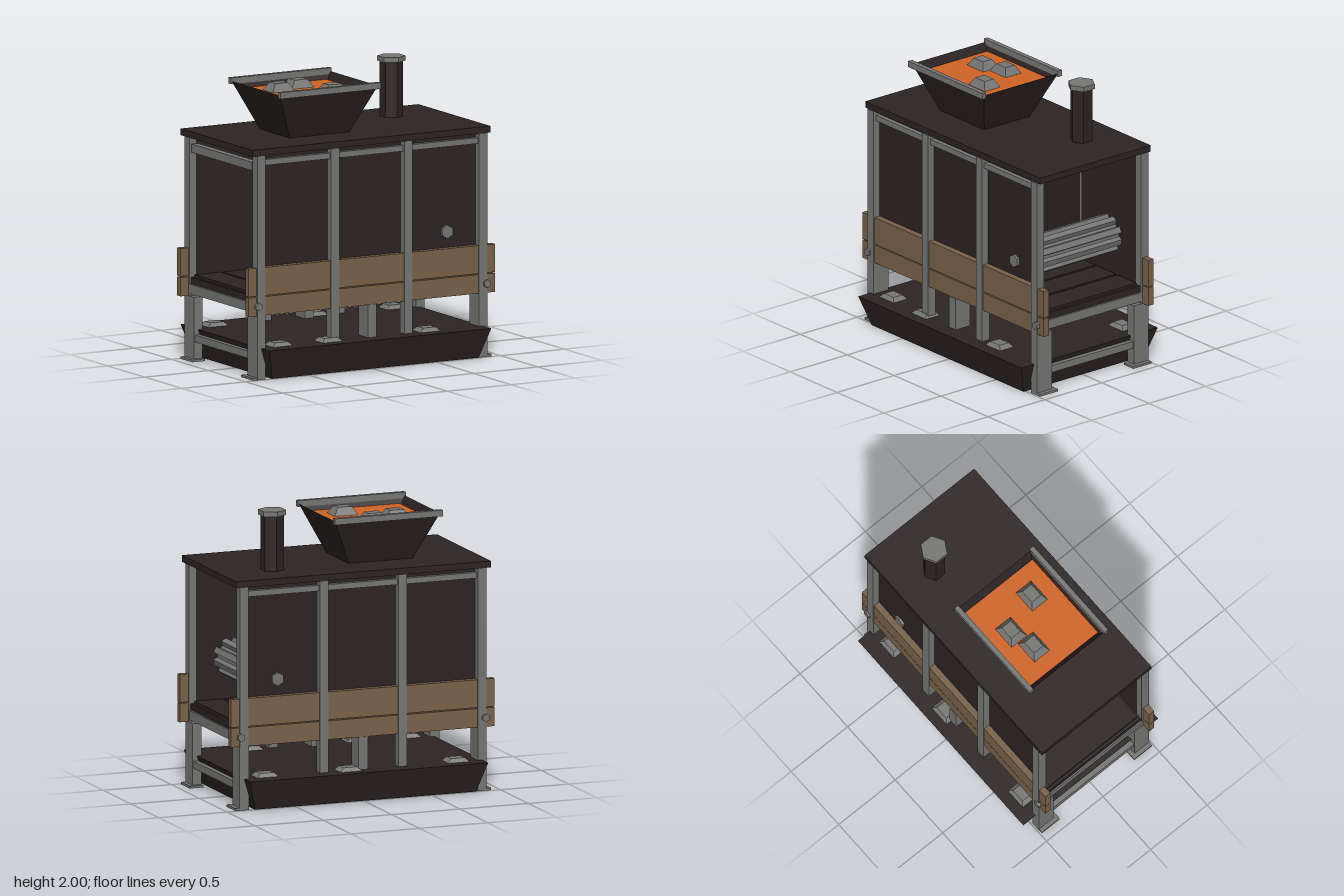
import * as THREE from 'three';

export function createModel() {
  const model = new THREE.Group();
  model.name = 'furnaceMachine';
  const material = (name, color, side = THREE.FrontSide) => {
    const m = new THREE.MeshStandardMaterial({ color, side, flatShading: true });
    m.name = name;
    return m;
  };
  const dark = material('darkIron', 0x2d2323, THREE.DoubleSide);
  const grey = material('greySteel', 0x767775);
  const wood = material('brownWood', 0x78614a);
  const orange = material('moltenOrange', 0xd06424);

  const add = (name, geometry, mat, x = 0, y = 0, z = 0) => {
    const mesh = new THREE.Mesh(geometry, mat);
    mesh.name = name;
    mesh.position.set(x, y, z);
    model.add(mesh);
    return mesh;
  };
  // Box given by its lower and upper corner
  const box = (name, mat, x0, x1, y0, y1, z0, z1) =>
    add(name, new THREE.BoxGeometry(x1 - x0, y1 - y0, z1 - z0), mat,
      (x0 + x1) / 2, (y0 + y1) / 2, (z0 + z1) / 2);
  // Box whose bottom and top have different sizes, standing on y = 0
  const frustum = (bw, bd, tw, td, h) => {
    const g = new THREE.BoxGeometry(1, h, 1).translate(0, h / 2, 0);
    const p = g.attributes.position;
    for (let i = 0; i < p.count; i++) {
      const top = p.getY(i) > h / 2;
      p.setX(i, p.getX(i) * (top ? tw : bw));
      p.setZ(i, p.getZ(i) * (top ? td : bd));
    }
    g.computeVertexNormals();
    return g;
  };
  const hexBolt = (name, x, y, z, r, h) => {
    add(name, new THREE.CylinderGeometry(r, r, h, 6), grey, x, y, z).rotation.x = Math.PI / 2;
  };

  // Roof
  box('roof', dark, -0.935, 0.93, 1.54, 1.585, -0.487, 0.483);

  // Front and back walls, mirrored
  for (const s of [-1, 1]) {
    const side = (name, mat, x0, x1, y0, y1, a, b) =>
      box(name, mat, x0, x1, y0, y1, Math.min(s * a, s * b), Math.max(s * a, s * b));
    side('wallPanel', dark, -0.85, 0.85, 0.5, 1.54, 0.425, 0.437);
    side('topRail', grey, -0.85, 0.85, 1.47, 1.51, 0.437, 0.47);
    side('lowerPlank', wood, -0.965, 0.965, 0.44, 0.57, 0.437, 0.482);
    side('upperPlank', wood, -0.965, 0.965, 0.577, 0.77, 0.437, 0.482);
    for (const x of [-0.87, -0.29, 0.285, 0.87])
      side('post', grey, x - 0.032, x + 0.032, 0, 1.54, 0.425, 0.489);
    for (const x of [-0.87, 0, 0.87]) {
      side('leg', grey, x - 0.034, x + 0.034, 0, 0.44, 0.36, 0.488);
      const out = Math.sign(x) * 0.015;
      side('footPlate', grey, x + out - 0.05, x + out + 0.05, 0, 0.016, 0.33, 0.488);
    }
    for (const x of [-0.895, 0.895]) hexBolt('postBolt', x, 0.505, s * 0.483, 0.028, 0.04);
    hexBolt('axleBolt', 0.61, 0.88, s * 0.435, 0.047, 0.04);
  }

  // Cross rails
  for (const x of [-0.87, -0.29, 0.285]) box('upperCrossRail', grey, x - 0.025, x + 0.025, 1.43, 1.488, -0.407, 0.407);
  for (const x of [-0.87, 0.87]) {
    box('deckCrossRail', grey, x - 0.03, x + 0.03, 0.455, 0.52, -0.44, 0.44);
    box('legCrossRail', grey, x - 0.025, x + 0.025, 0.13, 0.18, -0.37, 0.37);
  }

  // Deck with raised slats
  box('deck', dark, -0.89, 0.89, 0.522, 0.567, -0.435, 0.435);
  for (let i = 0; i < 8; i++) {
    const x = -0.77 + i * 0.22;
    box('deckSlat', dark, x - 0.1, x + 0.1, 0.567, 0.585, -0.41, 0.41);
  }

  // Toothed drum and its hub
  const gear = new THREE.Shape();
  const teeth = 9;
  for (let i = 0; i < teeth; i++) {
    [[0, 0.1], [0.28, 0.1], [0.4, 0.133], [0.86, 0.133]].forEach(([f, r], k) => {
      const a = ((i + f) / teeth) * Math.PI * 2;
      const args = [Math.cos(a) * r, Math.sin(a) * r];
      if (i + k === 0) gear.moveTo(...args);
      else gear.lineTo(...args);
    });
  }
  gear.closePath();
  const drum = new THREE.ExtrudeGeometry(gear, { depth: 0.78, bevelEnabled: false });
  add('drum', drum.translate(0, 0, -0.39), grey, 0.61, 0.88, 0);
  hexBolt('drumHub', 0.61, 0.88, 0, 0.07, 0.84);

  // Bottom tray with lumps
  add('tray', frustum(1.62, 1.06, 1.74, 1.195, 0.207), dark, 0, 0.008, 0);
  const lump = (x, y, z, h) => add('lump', frustum(0.18, 0.14, 0.1, 0.08, h), grey, x, y, z);
  for (const [x, z] of [[-0.7, 0.43], [-0.325, 0.455], [0.45, 0.445],
    [0.695, -0.43], [0.1, -0.465], [-0.69, -0.455]]) lump(x, 0.205, z, 0.036);

  // Hopper: open frustum with two rim bars
  const hx = -0.245;
  const shell = frustum(0.47, 0.4, 0.77, 0.65, 0.325);
  const index = Array.from(shell.index.array);
  shell.setIndex([...index.slice(0, 12), ...index.slice(18)]); // leave the top open
  shell.clearGroups();
  add('hopper', shell, dark, hx, 1.585, 0);
  for (const s of [-1, 1])
    box('hopperRim', grey, hx - 0.395, hx + 0.395, 1.89, 1.933, s * 0.332 - 0.017, s * 0.332 + 0.017);
  add('hopperFill', frustum(0.64, 0.56, 0.69, 0.6, 0.05), orange, hx, 1.81, 0);
  for (const [x, z] of [[-0.39, -0.1], [-0.21, -0.15], [-0.1, 0.125]]) lump(x, 1.855, z, 0.06);

  // Chimney
  add('chimney', new THREE.CylinderGeometry(0.08, 0.08, 0.39, 6), dark, 0.547, 1.775, -0.195);
  add('chimneyCap', new THREE.CylinderGeometry(0.096, 0.096, 0.035, 6), grey, 0.547, 1.9825, -0.195);

  return model;
}
